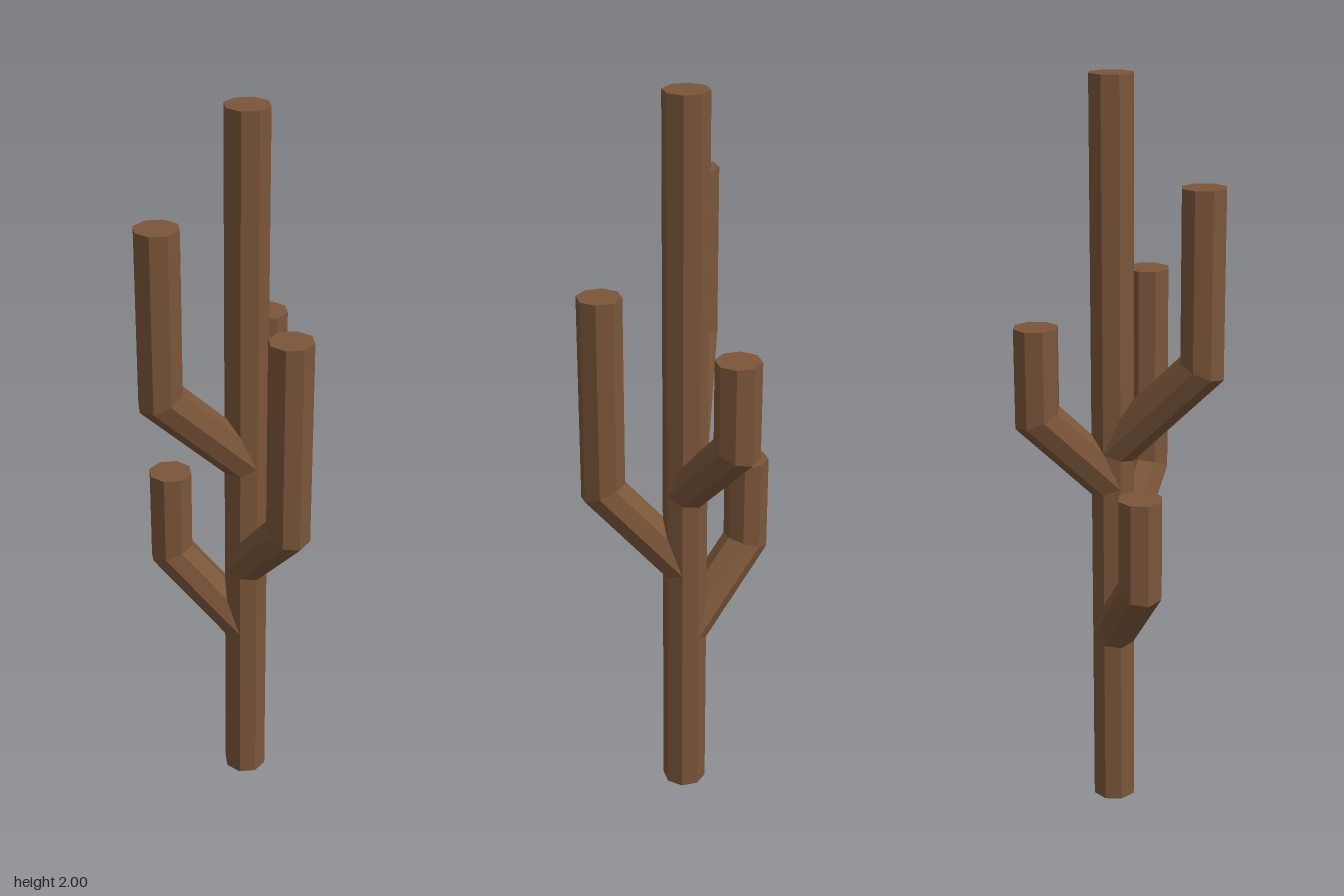
import * as THREE from 'three';

const R = 0.0595;
const SIDES = 8;
const TRUNK = { x: 0.052, z: -0.035 };

// Octagonal arm: leaves the trunk at 45 degrees, then bends straight up at a mitred elbow
function armGeometry(tipX, tipZ, elbowY, topY) {
  const reach = Math.hypot(tipX - TRUNK.x, tipZ - TRUNK.z);
  const dx = (tipX - TRUNK.x) / reach;
  const dz = (tipZ - TRUNK.z) / reach;
  const geo = new THREE.CylinderGeometry(R, R, 2, SIDES, 2);
  const pos = geo.attributes.position;
  for (let i = 0; i < pos.count; i++) {
    const x = pos.getX(i), y = pos.getY(i), z = pos.getZ(i);
    const out = x * dx + z * dz; // offset along the arm's direction
    if (y > 0.5) {
      pos.setXYZ(i, tipX + x, topY, tipZ + z);
    } else if (y > -0.5) {
      pos.setXYZ(i, tipX + x, elbowY - out * Math.tan(Math.PI / 8), tipZ + z);
    } else {
      // root ring, square to the sloping part, hidden inside the trunk
      const shift = out * (Math.SQRT1_2 - 1);
      pos.setXYZ(i, TRUNK.x + x + dx * shift, elbowY - reach - out * Math.SQRT1_2, TRUNK.z + z + dz * shift);
    }
  }
  geo.computeVertexNormals();
  return geo;
}

export function createModel() {
  const model = new THREE.Group();
  model.name = 'branchingTrunk';
  const bark = new THREE.MeshStandardMaterial({ color: 0x7a5539, flatShading: true });
  bark.name = 'bark brown';

  const add = (name, geo) => {
    const mesh = new THREE.Mesh(geo, bark);
    mesh.name = name;
    model.add(mesh);
    return mesh;
  };

  // Trunk
  add('trunk', new THREE.CylinderGeometry(R, R, 2, SIDES)).position.set(TRUNK.x, 1, TRUNK.z);

  // Arms: name, tip x, tip z, elbow height, top height
  const arms = [
    ['rightArm', -0.2, -0.035, 1.275, 1.735],
    ['frontArm', 0.052, 0.184, 0.917, 1.467],
    ['backLeftArm', 0.198, -0.181, 1.133, 1.373],
    ['backRightArm', -0.098, -0.187, 0.705, 0.957],
  ];
  for (const [name, ...spec] of arms) add(name, armGeometry(...spec));

  return model;
}
